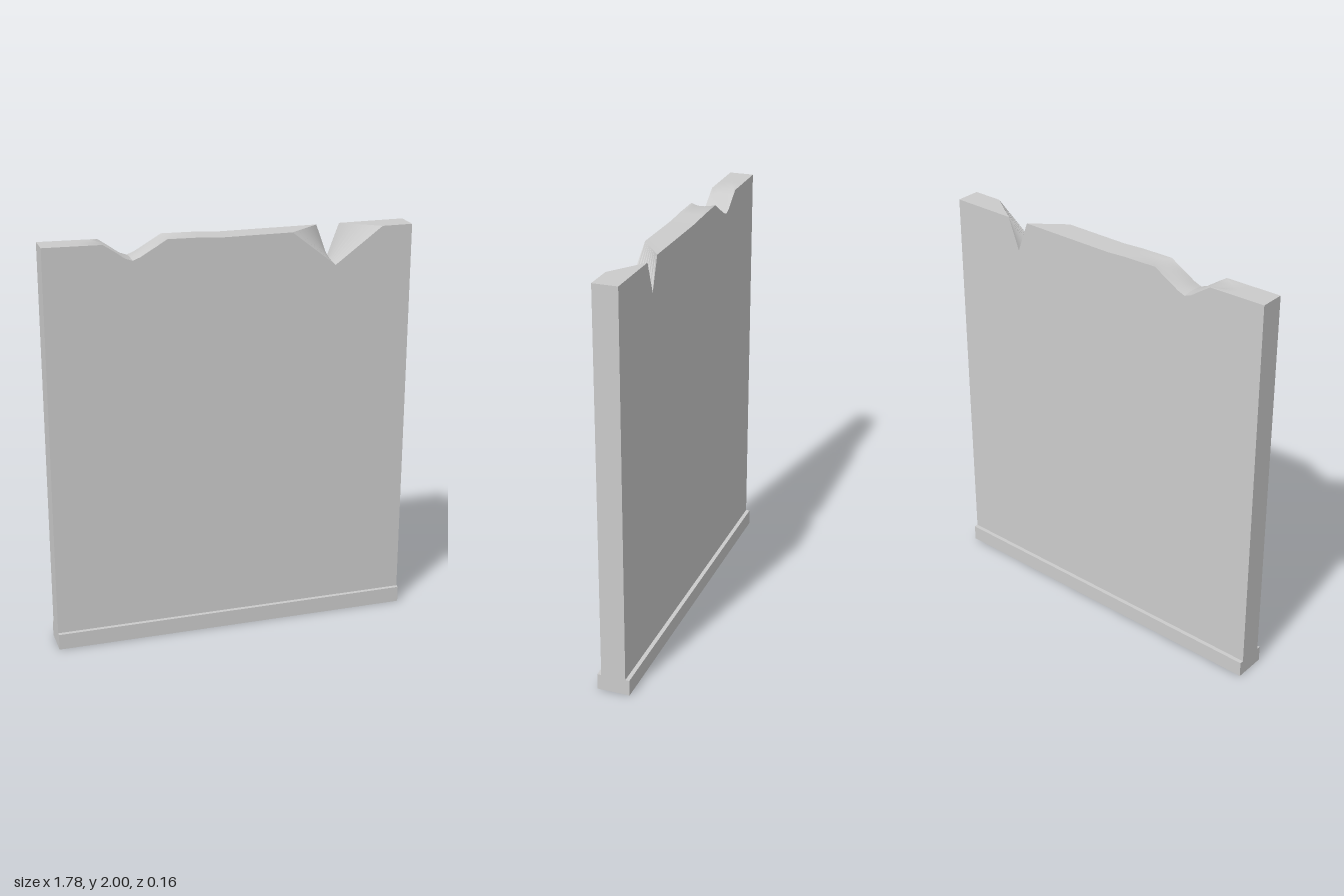
import * as THREE from 'three';
import { toCreasedNormals } from 'three/addons/utils/BufferGeometryUtils.js';

const HALF_W = 0.89, HALF_D = 0.06, BASE_H = 0.08;
const mix = THREE.MathUtils.lerp;

// Top edge of the slab at depth t (0 = front face, 1 = back face)
function topEdge(t) {
  const mid = Math.sin(Math.PI * t); // the worn chip widens and crowns mid-depth
  return [
    [-HALF_W, 2], [-0.72, 1.997],
    // worn chip
    [-0.61 - 0.07 * mid, 1.995],
    [-0.57 - 0.03 * mid, 1.968 + 0.012 * mid],
    [-0.51, 1.925 + 0.006 * mid],
    [-0.475, 1.912 + 0.005 * mid],
    [-0.44, 1.925 + 0.006 * mid],
    [-0.37, 1.965 + 0.004 * mid],
    [-0.31 + 0.03 * mid, 2 - 0.002 * mid],
    [-0.15, 1.997], [-0.04, 1.99],
    // sharp notch, flaring towards the front
    [mix(0.29, 0.45, t), 1.99],
    [0.507, mix(1.818, 1.835, t)],
    [mix(0.74, 0.565, t), 1.99],
    [HALF_W, 1.99],
  ];
}

// Loft from the front foot, over the top, down to the back foot
function slabGeometry() {
  const steps = 8, rows = [];
  for (let s = 0; s <= steps; s++) {
    const t = s / steps, z = mix(HALF_D, -HALF_D, t);
    rows.push(topEdge(t).map(([x, y]) => [x, y, z]));
  }
  const foot = row => row.map(([x, , z]) => [x, BASE_H, z]);
  rows.unshift(foot(rows[0]));
  rows.push(foot(rows[rows.length - 1]));

  const cols = rows[0].length, index = [];
  for (let j = 0; j < rows.length - 1; j++) {
    for (let i = 0; i < cols - 1; i++) {
      const a = j * cols + i, d = a + cols;
      index.push(a, a + 1, d + 1, a, d + 1, d);
    }
    // end caps, fanned from the front foot
    if (j > 0) {
      const l = j * cols, r = l + cols - 1;
      index.push(0, l, l + cols, cols - 1, r + cols, r);
    }
  }
  const geo = new THREE.BufferGeometry();
  geo.setAttribute('position', new THREE.Float32BufferAttribute(rows.flat(2), 3));
  geo.setIndex(index);
  return toCreasedNormals(geo, 0.6);
}

export function createModel() {
  const group = new THREE.Group();
  group.name = 'chippedWall';
  const material = new THREE.MeshStandardMaterial({ color: 0xcccccc });

  const slab = new THREE.Mesh(slabGeometry(), material);
  slab.name = 'wallSlab';

  // Slightly wider plinth
  const base = new THREE.Mesh(new THREE.BoxGeometry(HALF_W * 2, BASE_H, 0.16), material);
  base.name = 'basePlinth';
  base.position.y = BASE_H / 2;

  group.add(slab, base);
  return group;
}
